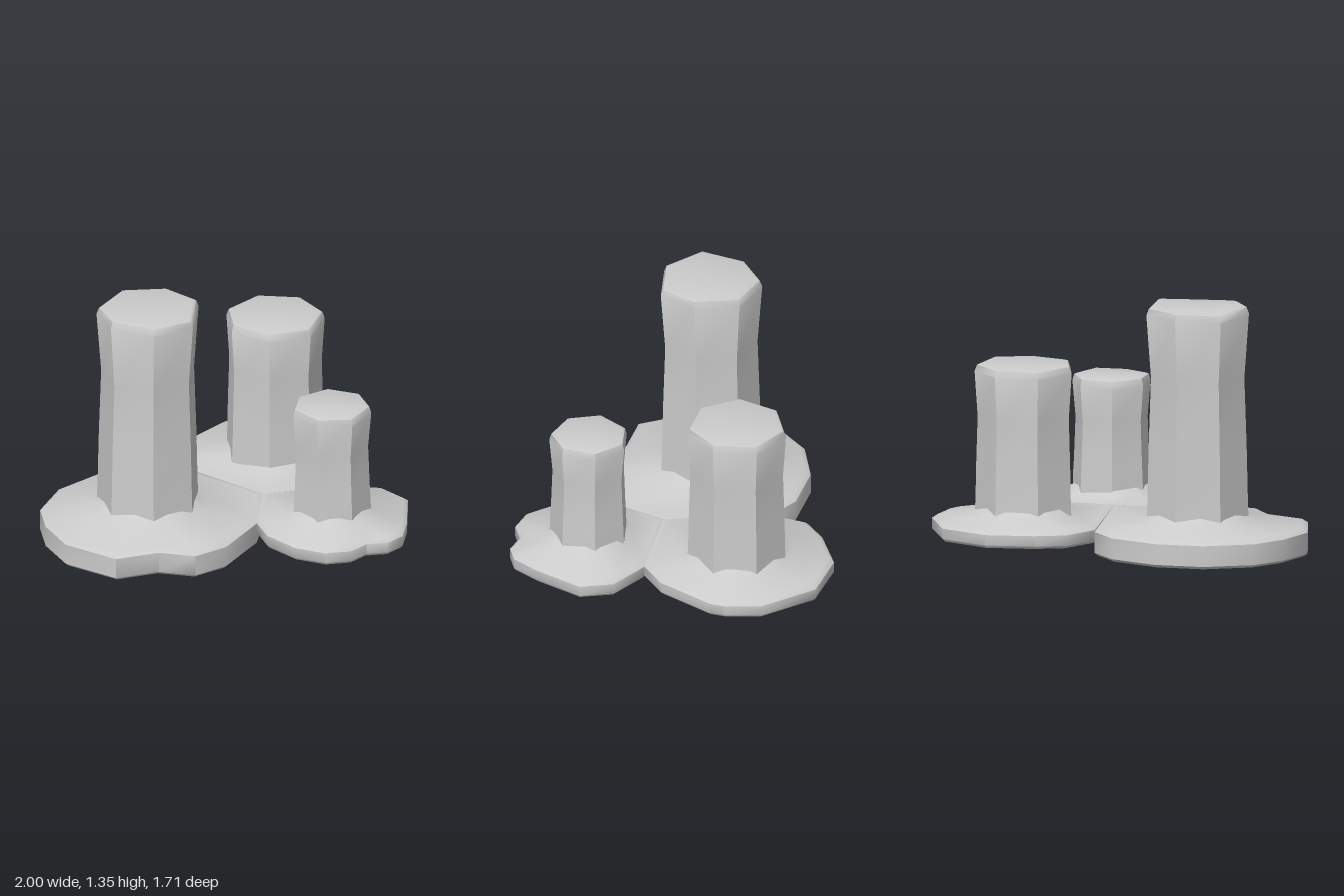
import * as THREE from 'three';
import { toCreasedNormals } from 'three/addons/utils/BufferGeometryUtils.js';

const material = new THREE.MeshStandardMaterial({ color: 0xcccccc });
const SIDES = 7;

// Skin a stack of closed rings (lists of Vector3, ordered by angle, bottom to top)
function loft(rings, crease) {
  const pos = [];
  const n = rings[0].length;
  const tri = (a, b, c) => {
    if (new THREE.Triangle(a, b, c).getArea() > 1e-7) {
      for (const p of [a, b, c]) pos.push(p.x, p.y, p.z);
    }
  };
  for (let j = 0; j < rings.length - 1; j++) {
    for (let i = 0; i < n; i++) {
      const k = (i + 1) % n;
      tri(rings[j][i], rings[j + 1][i], rings[j][k]);
      tri(rings[j][k], rings[j + 1][i], rings[j + 1][k]);
    }
  }
  const g = new THREE.BufferGeometry();
  g.setAttribute('position', new THREE.Float32BufferAttribute(pos, 3));
  return toCreasedNormals(g, crease);
}

// Waxy seven-sided column with a slight waist, flared mouth and uneven rim
function column({ center: [cx, cz], radius, phase, height, waist, tilt }) {
  const ring = (s, y, wobble) => Array.from({ length: SIDES }, (_, i) => {
    const a = phase + (i / SIDES) * Math.PI * 2;
    return new THREE.Vector3(cx + Math.cos(a) * radius * s, y + wobble * Math.sin(i * 2.1), cz + Math.sin(a) * radius * s);
  });
  return loft([
    ring(1, 0.16, 0),
    ring(0.98, 0.3, 0),
    ring((1 + waist) / 2, height * 0.45, 0),
    ring(waist, height * 0.72, 0),
    ring(1, height - 0.04, tilt),
    ring(0.95, height - 0.006, tilt),
    ring(0.88, height, tilt),
    ring(0, height, 0),
  ], 0.85);
}

// Spilled wax pool: a rounded slab that swells up to the foot of its column
function pool({ center: [cx, cz], radius, outline, base, hubBase, lip }) {
  const angle = ([x, z]) => Math.atan2(z - cz, x - cx);
  const pts = [...outline].sort((a, b) => angle(a) - angle(b));
  const ring = (s, y) => pts.map((p) =>
    new THREE.Vector3(cx + (p[0] - cx) * s, y(p), cz + (p[1] - cz) * s));
  const foot = (r, y) => pts.map((p) =>
    new THREE.Vector3(cx + Math.cos(angle(p)) * r, y, cz + Math.sin(angle(p)) * r));
  const bottom = (p) => (p === hub ? hubBase : base);
  return loft([
    ring(0, () => base),
    ring(0.97, bottom),
    ring(1, (p) => bottom(p) + 0.015),
    ring(1, (p) => (p === hub ? 0.2 : lip)),
    ring(0.94, (p) => (p === hub ? 0.2 : lip + 0.02)),
    foot(radius + 0.03, 0.205),
    foot(radius * 0.88, 0.25),
  ], 0.8);
}

// Points where neighbouring pools meet, as [x, z]
const hub = [0.09, 0.02];
const backNotch = [0.1, -0.54];
const leftNotch = [0.48, 0.2];
const rightNotch = [-0.13, 0.18];

const tallCandle = {
  center: [-0.41, -0.33], radius: 0.275, phase: -0.4, height: 1.335, waist: 0.91, tilt: 0.012,
  base: 0.03, hubBase: 0, lip: 0.155,
  outline: [backNotch, hub, rightNotch, [-0.45, 0.26], [-0.64, 0.22], [-0.74, 0.05], [-0.95, -0.06],
    [-1, -0.37], [-0.91, -0.6], [-0.78, -0.76], [-0.53, -0.86], [-0.27, -0.84], [-0.02, -0.71]],
};
const mediumCandle = {
  center: [0.51, -0.29], radius: 0.265, phase: -0.2, height: 0.995, waist: 0.94, tilt: 0.004,
  base: 0.095, hubBase: 0.04, lip: 0.165,
  outline: [backNotch, hub, leftNotch, [0.66, 0.15], [0.92, -0.06], [0.96, -0.13],
    [1, -0.32], [0.89, -0.63], [0.64, -0.78], [0.38, -0.77], [0.22, -0.72]],
};
const smallCandle = {
  center: [0.175, 0.43], radius: 0.21, phase: 0.05, height: 0.82, waist: 0.92, tilt: 0.004,
  base: 0.09, hubBase: 0.04, lip: 0.16,
  outline: [leftNotch, hub, rightNotch, [-0.21, 0.33], [-0.22, 0.54], [-0.16, 0.7], [-0.05, 0.78],
    [0.07, 0.78], [0.16, 0.85], [0.27, 0.85], [0.4, 0.76], [0.61, 0.57], [0.62, 0.39]],
};

export function createModel() {
  const model = new THREE.Group();
  model.name = 'candleCluster';
  for (const [name, spec] of Object.entries({ tallCandle, mediumCandle, smallCandle })) {
    const candle = new THREE.Group();
    candle.name = name;
    const stem = new THREE.Mesh(column(spec), material);
    stem.name = 'waxColumn';
    const puddle = new THREE.Mesh(pool(spec), material);
    puddle.name = 'meltedPool';
    candle.add(stem, puddle);
    model.add(candle);
  }
  return model;
}
